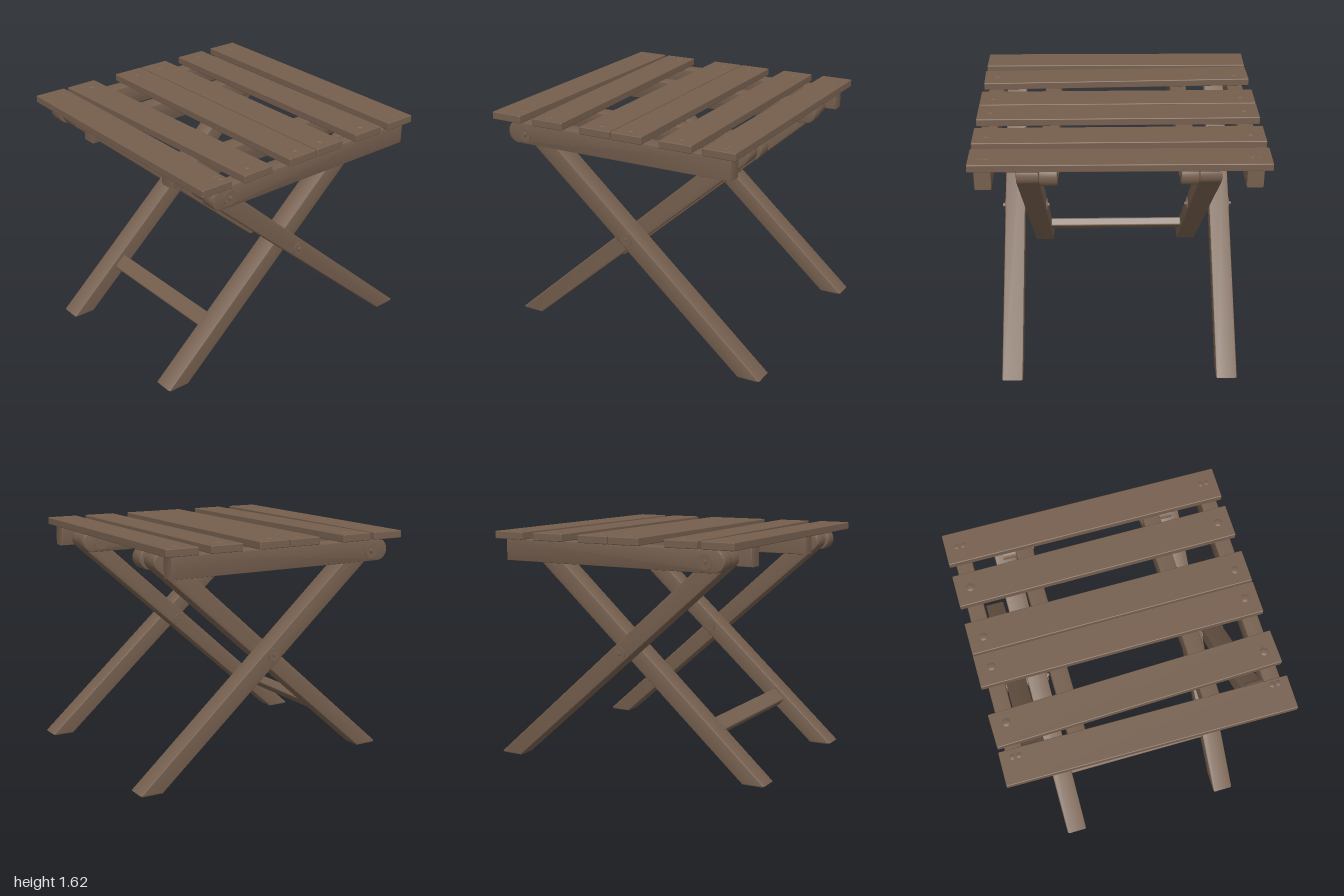
import * as THREE from 'three';
import { toCreasedNormals } from 'three/addons/utils/BufferGeometryUtils.js';
import { RoundedBoxGeometry } from 'three/addons/geometries/RoundedBoxGeometry.js';

const wood = new THREE.MeshStandardMaterial({ color: 0x755f4e });
wood.name = 'brownWood';

export function createModel() {
  const model = new THREE.Group();

  function add(name, geometry, x = 0, y = 0, z = 0) {
    const mesh = new THREE.Mesh(geometry, wood);
    mesh.name = name;
    mesh.position.set(x, y, z);
    model.add(mesh);
    return mesh;
  }

  // Side profile in (z, y), extruded along x with softened edges; dir mirrors it front to back
  function sidePlank(name, shape, dir, x, width) {
    const bevel = 0.01;
    const points = shape.getPoints(10).map(p => new THREE.Vector2(p.x * dir, p.y));
    const depth = width - 2 * bevel;
    const geometry = new THREE.ExtrudeGeometry(new THREE.Shape(points), {
      depth, bevelEnabled: true, bevelSize: bevel, bevelThickness: bevel,
      bevelOffset: -bevel, bevelSegments: 2,
    });
    geometry.translate(0, 0, -depth / 2);
    geometry.rotateY(-Math.PI / 2);
    add(name, toCreasedNormals(geometry, 0.6), x);
  }

  // Leg: slanted foot, round pivot end
  const lean = Math.atan(0.885);
  const legShape = new THREE.Shape();
  legShape.moveTo(-1, 0.01);
  legShape.lineTo(-0.985, 0);
  legShape.lineTo(-0.84, 0);
  legShape.absarc(0.745, 1.48, 0.066, lean - Math.PI / 2, lean + Math.PI / 2, false);
  legShape.closePath();

  // Seat rail: square at one end, round at the other
  const railShape = new THREE.Shape();
  railShape.moveTo(-0.825, 1.56);
  railShape.lineTo(-0.825, 1.41);
  railShape.absarc(0.76, 1.485, 0.075, -Math.PI / 2, Math.PI / 2, false);
  railShape.closePath();

  // Cylinder lying along x
  function pin(name, radius, x0, x1, y, z) {
    const geometry = new THREE.CylinderGeometry(radius, radius, Math.abs(x1 - x0), 20);
    geometry.rotateZ(Math.PI / 2);
    add(name, geometry, (x0 + x1) / 2, y, z);
  }

  for (const s of [1, -1]) {
    sidePlank('outerLeg', legShape, 1, s * 0.735, 0.143);
    sidePlank('innerLeg', legShape, -1, s * 0.583, 0.145);
    sidePlank('outerRail', railShape, 1, s * 0.865, 0.112);
    sidePlank('innerRail', railShape, -1, s * 0.45, 0.118);

    // Centre pivot through both legs
    pin('centreBolt', 0.014, s * 0.492, s * 0.828, 0.82, 0);
    pin('centreWasher', 0.045, s * 0.503, s * 0.813, 0.82, 0);
    // Pivots joining legs to rails
    pin('outerBolt', 0.015, s * 0.7, s * 0.945, 1.48, 0.7);
    pin('outerWasher', 0.05, s * 0.7, s * 0.926, 1.48, 0.7);
    pin('innerBolt', 0.015, s * 0.376, s * 0.6, 1.48, -0.7);
    pin('innerWasher', 0.05, s * 0.386, s * 0.6, 1.48, -0.7);
  }

  // Stretcher between the inner legs
  const stretcher = add('stretcher', new RoundedBoxGeometry(1.03, 0.113, 0.065, 2, 0.012), 0, 0.318, 0.567);
  stretcher.rotation.x = lean - Math.PI / 2;

  // Seat slats: [z, depth, slight turn]
  const slats = [
    [-0.764, 0.227, -0.007], [-0.455, 0.23, 0], [-0.103, 0.226, 0],
    [0.132, 0.226, 0], [0.523, 0.23, 0.026], [0.814, 0.228, -0.009],
  ];
  slats.forEach(([z, depth, turn], i) => {
    const slat = add('seatSlat', new RoundedBoxGeometry(1.92, 0.052, depth, 2, 0.006), -0.005, 1.585, z);
    slat.rotation.y = turn;
  });

  // Domed screw heads: pairs on the end slats, single ones between
  function screw(x, z, radius) {
    const dome = new THREE.SphereGeometry(radius, 16, 5, 0, Math.PI * 2, 0, Math.PI / 2);
    add('screwHead', dome.scale(1, 0.25, 1), x, 1.61, z);
  }
  for (const s of [1, -1]) {
    for (const z of [-0.46, -0.093, 0.122, 0.515]) screw(s * 0.866, z, 0.028);
    for (const z of [-0.775, 0.745]) {
      for (const x of [0.842, 0.885]) screw(s * x, z, 0.019);
    }
  }

  return model;
}
